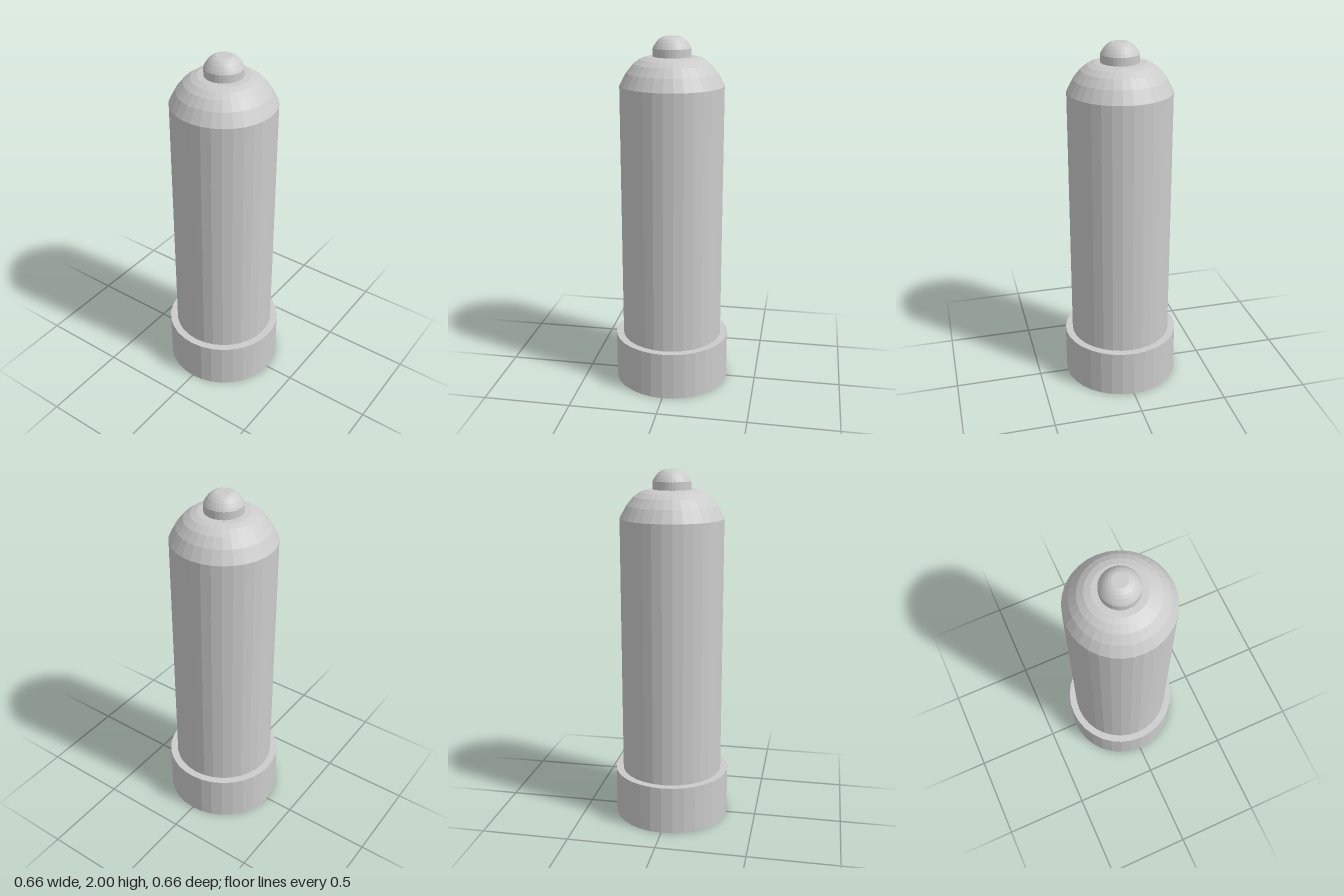
import * as THREE from 'three';

const SIDES = 32;

export function createModel() {
  const model = new THREE.Group();
  const material = new THREE.MeshStandardMaterial({ color: 0xcccccc, flatShading: true });

  // Turn a [radius, height] profile, listed bottom to top, around the y axis
  const turned = (name, profile) => {
    const points = profile.map(([r, y]) => new THREE.Vector2(r, y));
    const mesh = new THREE.Mesh(new THREE.LatheGeometry(points, SIDES), material);
    mesh.name = name;
    model.add(mesh);
  };

  // Wide foot collar, closed top and bottom
  turned('base', [[0, 0], [0.33, 0], [0.33, 0.275], [0, 0.275]]);

  // Tall barrel with rounded shoulder
  turned('body', [
    [0.288, 0.275], [0.288, 1.738], [0.25, 1.808], [0.21, 1.855],
    [0.174, 1.88], [0.14, 1.892], [0.105, 1.894], [0, 1.894],
  ]);

  // Small domed button with a flat tip
  turned('topKnob', [
    [0.105, 1.89], [0.105, 1.938], [0.097, 1.953], [0.084, 1.972],
    [0.07, 1.986], [0.056, 1.995], [0.042, 2], [0, 2],
  ]);

  return model;
}
